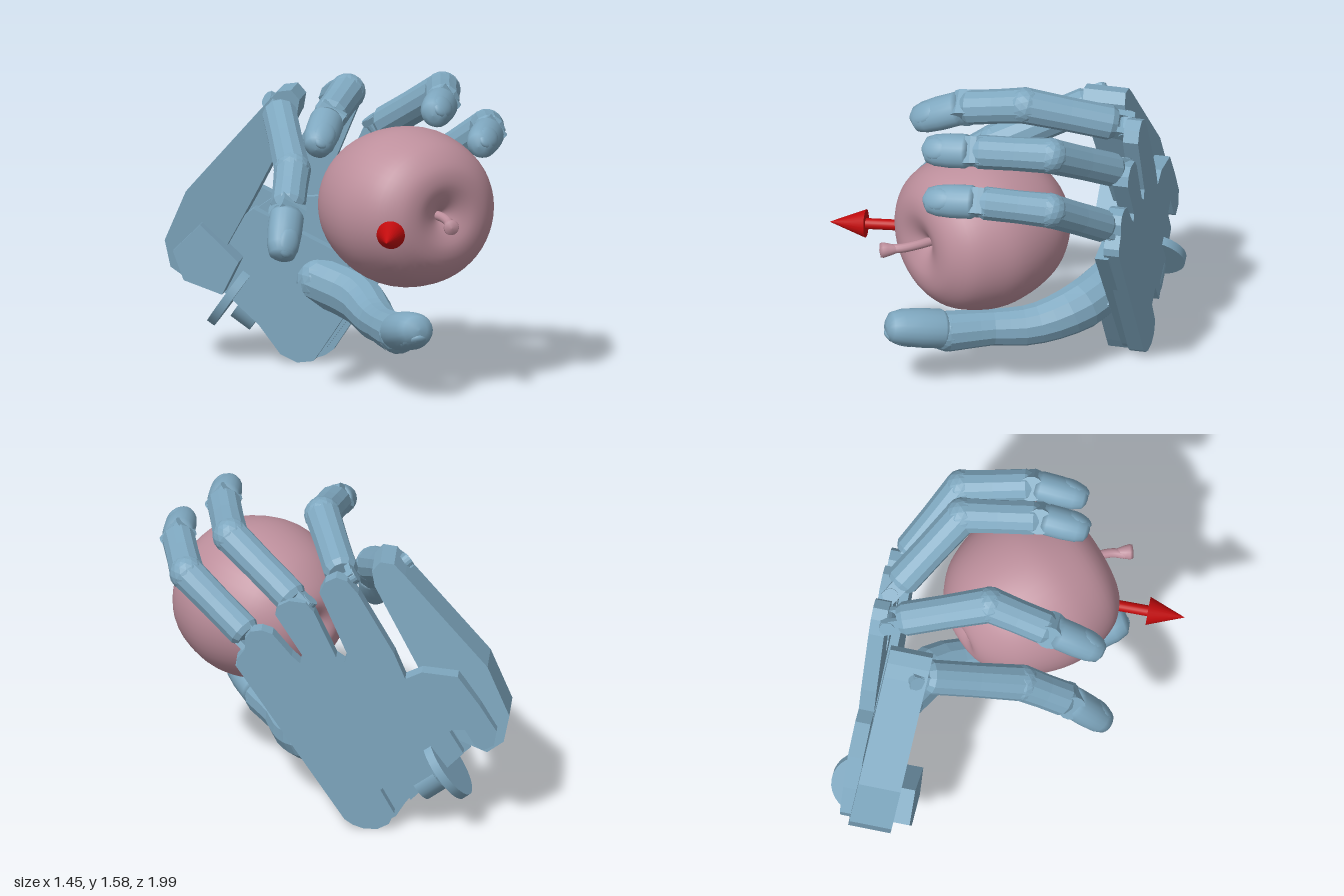
import * as THREE from 'three';

const V = (x, y, z) => new THREE.Vector3(x, y, z);
const skin = new THREE.MeshStandardMaterial({ color: 0x7fa8c0, flatShading: true });
const smoothSkin = new THREE.MeshStandardMaterial({ color: 0x7fa8c0 });
const appleMat = new THREE.MeshStandardMaterial({ color: 0xbd8f9c });
const red = new THREE.MeshStandardMaterial({ color: 0xc00a0c });

function add(parent, name, geo, mat = skin) {
  const m = new THREE.Mesh(geo, mat);
  m.name = name;
  parent.add(m);
  return m;
}

// Put an object at p with its y axis along dir and its z axis towards out
function orient(obj, p, dir, out = V(0.3, 1, 0.2)) {
  const y = dir.clone().normalize();
  const x = y.clone().cross(out).normalize();
  const z = x.clone().cross(y);
  obj.quaternion.setFromRotationMatrix(new THREE.Matrix4().makeBasis(x, y, z));
  obj.position.copy(p);
  return obj;
}

const lathe = (pts, n) => new THREE.LatheGeometry(pts.map(p => new THREE.Vector2(...p)), n);

// Chamfered finger bone from a to b
function bone(parent, name, a, b, ra, rb, out) {
  const L = a.distanceTo(b), c = 0.03;
  const geo = lathe([[0, 0], [ra * 0.8, 0], [ra, c], [(ra + rb) / 2 * 0.97, L / 2],
    [rb, L - c], [rb * 0.8, L], [0, L]], 12);
  return orient(add(parent, name, geo), a, b.clone().sub(a), out);
}

// Rounded fingertip with a curved nail on its outer side
function fingertip(parent, a, b, r, out) {
  const g = new THREE.Group();
  g.name = 'fingertip';
  const L = a.distanceTo(b);
  const tip = add(g, 'tipPad', lathe([[0, 0], [r * 0.85, 0], [r, 0.025], [r, L * 0.45],
    [r * 0.92, L * 0.74], [r * 0.74, L * 0.92], [r * 0.4, L * 0.985], [0, L]], 20), smoothSkin);
  tip.scale.z = 0.9;
  const nail = add(g, 'nail', new THREE.SphereGeometry(1, 20, 12), smoothSkin);
  nail.scale.set(r * 0.66, L * 0.31, r * 0.36);
  nail.position.set(0, L * 0.7, r * 0.5);
  nail.rotation.x = -0.2;
  parent.add(orient(g, a, b.clone().sub(a), out));
}

// Finger: two bones, joint barrels and a fingertip
function finger(parent, name, [base, mid, end, tip], r) {
  const g = new THREE.Group();
  g.name = name;
  const out = mid.clone().sub(base.clone().add(tip).multiplyScalar(0.5));
  const d1 = mid.clone().sub(base).normalize();
  const d2 = end.clone().sub(mid).normalize();
  bone(g, 'proximalBone', base.clone().addScaledVector(d1, 0.06), mid.clone().addScaledVector(d1, 0.02), r * 0.96, r, out);
  bone(g, 'middleBone', mid.clone().addScaledVector(d2, -0.03), end, r, r * 0.96, out);
  add(g, 'middleKnuckle', new THREE.IcosahedronGeometry(r * 1.02, 2)).position.copy(mid);
  // forked knuckle: a pivot barrel between two cheeks
  const side = d1.clone().cross(out).normalize();
  orient(add(g, 'pivot', new THREE.CylinderGeometry(0.04, 0.04, 0.14, 16)), base, side, d1);
  for (const s of [-1, 1]) {
    const cheek = add(g, 'cheek', new THREE.BoxGeometry(0.03, 0.13, 0.08));
    orient(cheek, base.clone().addScaledVector(side, s * 0.05).addScaledVector(d1, 0.04), d1, out);
  }
  orient(add(g, 'tipHinge', new THREE.CylinderGeometry(r * 0.75, r * 0.75, r * 1.5, 14)), end, d2.clone().cross(out), d2);
  fingertip(g, end.clone().addScaledVector(d2, 0.015), tip, r * 0.97, out);
  parent.add(g);
}

// Flat palm part outlined by its side profile [z, y], at depth w0..w1 from the centre;
// lean tips it inwards with height
function slab(parent, name, pts, w0, w1, wRef, lean = 0) {
  const shape = new THREE.Shape(pts.map(([z, y]) => new THREE.Vector2(z * Math.SQRT2 - wRef, y)));
  const geo = new THREE.ExtrudeGeometry(shape, { depth: w1 - w0, bevelEnabled: false });
  geo.applyMatrix4(new THREE.Matrix4().set(1, 0, 0, 0, 0, 1, 0, 0, 0, lean, 1, w0, 0, 0, 0, 1));
  add(parent, name, geo);
}

function buildPalm(hand) {
  const palm = new THREE.Group();
  palm.name = 'palm';
  palm.rotation.y = -Math.PI / 4;
  hand.add(palm);
  // back plate with three knuckle lugs and a slotted wrist edge
  slab(palm, 'backPlate', [
    [-0.44, 0.06], [-0.05, 0.9], [-0.05, 0.94], [-0.08, 1.0], [-0.08, 1.06], [-0.1, 1.1], [-0.14, 1.11], [-0.18, 1.09],
    [-0.25, 0.97], [-0.28, 0.93], [-0.29, 0.97], [-0.19, 1.2], [-0.2, 1.25], [-0.24, 1.28], [-0.3, 1.27], [-0.33, 1.22],
    [-0.41, 0.97], [-0.44, 0.94], [-0.45, 0.99], [-0.35, 1.33], [-0.37, 1.39], [-0.41, 1.42], [-0.45, 1.4], [-0.49, 1.33],
    [-0.62, 1.0], [-0.66, 0.86], [-0.72, 0.9], [-0.85, 0.88], [-0.93, 0.72], [-0.99, 0.58], [-0.98, 0.5], [-0.94, 0.47],
    [-0.91, 0.5], [-0.86, 0.62], [-0.82, 0.57], [-0.87, 0.45], [-0.68, 0.18], [-0.62, 0.29],
    [-0.57, 0.23], [-0.62, 0.1], [-0.6, 0.04], [-0.56, 0.01], [-0.51, 0.01], [-0.47, 0.03],
  ], -0.495, -0.415, -0.49);
  // thicker palm edge and wrist body
  slab(palm, 'palmBody', [[-0.4, 0.07], [0.02, 0.88], [-0.12, 0.9], [-0.6, 0.84], [-0.84, 0.6],
    [-0.83, 0.46], [-0.62, 0.2], [-0.56, 0.06], [-0.5, 0.01], [-0.44, 0.02]], -0.44, -0.37, -0.4);
  slab(palm, 'wristBody', [[-0.37, 0.08], [-0.22, 0.4], [-0.3, 0.58], [-0.62, 0.8], [-0.8, 0.6],
    [-0.8, 0.46], [-0.6, 0.2], [-0.52, 0.05], [-0.46, 0.01], [-0.4, 0.02]], -0.4, -0.29, -0.35);
  // side block that carries the first finger, leaning inwards to its knuckle
  slab(palm, 'sideBlock', [[-0.43, 1.32], [-0.42, 1.4], [-0.45, 1.45], [-0.5, 1.44], [-0.54, 1.38], [-0.84, 0.9],
    [-0.92, 0.64], [-0.9, 0.5], [-0.84, 0.44], [-0.74, 0.5], [-0.6, 0.86]], -0.49, -0.27, -0.33, 0.09);
  slab(palm, 'sideBlockHeel', [[-0.76, 0.74], [-0.86, 0.6], [-0.82, 0.45], [-0.68, 0.38], [-0.62, 0.55]], -0.3, -0.13, -0.3);
  // wrist pivot discs
  for (const [off, r, t] of [[0, 0.19, 0.045], [-0.12, 0.1, 0.12]]) {
    const disc = add(palm, 'wristDisc', new THREE.CylinderGeometry(r, r, t, 32), smoothSkin);
    disc.rotation.z = 0.953;
    disc.position.set(-0.65 - 0.815 * off, 0.34 + 0.58 * off, -0.4);
  }
  // thumb mount
  const hub = add(palm, 'thumbMount', new THREE.CylinderGeometry(0.12, 0.13, 0.18, 16));
  hub.rotation.x = Math.PI / 2;
  hub.position.set(-0.18, 0.38, -0.33);
}

function buildThumb(hand) {
  const g = new THREE.Group();
  g.name = 'thumb';
  hand.add(g);
  const curve = new THREE.CatmullRomCurve3([V(0.1, 0.43, -0.36), V(0.16, 0.37, -0.12), V(0.1, 0.305, 0.12),
    V(0.01, 0.305, 0.33), V(-0.06, 0.31, 0.54)]);
  const radii = [0.125, 0.128, 0.108, 0.094, 0.106];
  const n = 12, sides = 12;
  const geo = new THREE.TubeGeometry(curve, n, 1, sides);
  const pos = geo.attributes.position, v = V(0, 0, 0);
  for (let i = 0; i < pos.count; i++) {
    const t = Math.floor(i / (sides + 1)) / n, k = Math.min(3, Math.floor(t * 4));
    const r = THREE.MathUtils.lerp(radii[k], radii[k + 1], t * 4 - k);
    const c = curve.getPointAt(t);
    v.fromBufferAttribute(pos, i).sub(c).multiplyScalar(r).add(c);
    pos.setXYZ(i, v.x, v.y, v.z);
  }
  add(g, 'thumbBone', geo);
  add(g, 'thumbBall', new THREE.IcosahedronGeometry(0.125, 2)).position.copy(curve.getPointAt(0));
  add(g, 'thumbJoint', new THREE.IcosahedronGeometry(0.104, 2)).position.copy(curve.getPointAt(1));
  fingertip(g, V(-0.065, 0.325, 0.55), V(-0.15, 0.385, 0.85), 0.11, V(-0.1, -1, 0.2));
}

function buildApple(root) {
  const g = new THREE.Group();
  g.name = 'apple';
  root.add(g);
  const profile = new THREE.SplineCurve([[0, 0.05], [0.06, 0], [0.14, -0.02], [0.24, 0.03], [0.34, 0.13], [0.405, 0.27],
    [0.435, 0.42], [0.42, 0.55], [0.37, 0.68], [0.28, 0.762], [0.19, 0.785], [0.11, 0.768], [0.04, 0.73], [0, 0.69]]
    .map(p => new THREE.Vector2(...p))).getPoints(50);
  profile.forEach(p => { p.x = Math.max(0, p.x); });
  const body = add(g, 'appleBody', new THREE.LatheGeometry(profile, 48), appleMat);
  body.rotation.x = Math.PI / 2;
  body.scale.z = 0.945;
  body.position.set(0.07, 0.94, 0);
  const stem = new THREE.CatmullRomCurve3([V(0.06, 0.94, 0.66), V(0.05, 0.935, 0.78), V(0.02, 0.925, 0.87), V(-0.02, 0.92, 0.92)]);
  add(g, 'stem', new THREE.TubeGeometry(stem, 16, 0.024, 12), appleMat);
  const knob = add(g, 'stemEnd', lathe([[0.022, 0], [0.034, 0.04], [0.04, 0.065], [0.036, 0.08], [0, 0.085]], 16), appleMat);
  orient(knob, V(0.01, 0.922, 0.89), V(-0.4, -0.05, 0.75));
}

function buildArrow(root) {
  const g = new THREE.Group();
  g.name = 'arrow';
  add(g, 'arrowShaft', new THREE.CylinderGeometry(0.028, 0.028, 0.6, 20), red).position.y = 0.3;
  add(g, 'arrowHead', new THREE.ConeGeometry(0.073, 0.19, 24), red).position.y = 0.69;
  root.add(orient(g, V(0.07, 0.93, 0.42), V(-0.53, -0.04, 0.57)));
}

export function createModel() {
  const root = new THREE.Group();
  root.name = 'handHoldingApple';
  const hand = new THREE.Group();
  hand.name = 'hand';
  root.add(hand);
  buildPalm(hand);
  finger(hand, 'firstFinger', [V(-0.12, 1.36, -0.43), V(-0.38, 1.12, 0.06), V(-0.54, 0.96, 0.24), V(-0.68, 0.74, 0.38)], 0.094);
  finger(hand, 'secondFinger', [V(0.2, 1.36, -0.38), V(-0.05, 1.495, 0.08), V(-0.31, 1.42, 0.28), V(-0.52, 1.3, 0.46)], 0.093);
  finger(hand, 'thirdFinger', [V(0.37, 1.21, -0.25), V(0.44, 1.475, 0.23), V(0.21, 1.485, 0.55), V(0.02, 1.46, 0.73)], 0.092);
  finger(hand, 'fourthFinger', [V(0.54, 1.01, -0.08), V(0.63, 1.28, 0.35), V(0.43, 1.32, 0.65), V(0.22, 1.295, 0.85)], 0.09);
  buildThumb(hand);
  buildApple(root);
  buildArrow(root);
  return root;
}
